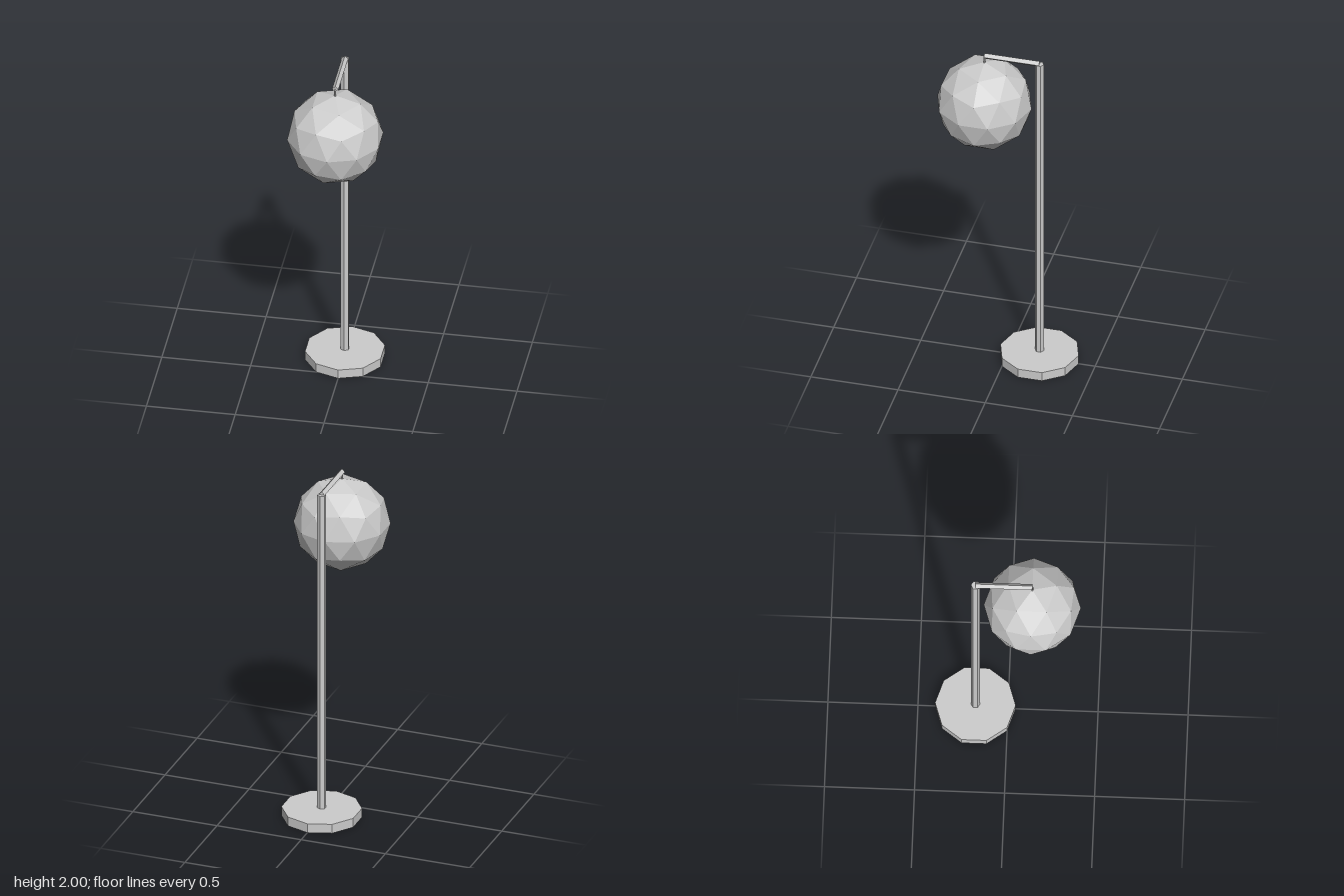
import * as THREE from 'three';

export function createModel() {
  const model = new THREE.Group();
  model.name = 'floorLamp';
  const grey = new THREE.MeshStandardMaterial({ color: 0xcccccc, flatShading: true });
  grey.name = 'lightGrey';

  const add = (name, geometry, x, y, z) => {
    const mesh = new THREE.Mesh(geometry, grey);
    mesh.name = name;
    mesh.position.set(x, y, z);
    model.add(mesh);
    return mesh;
  };
  // Upright faceted cylinder from y0 to y1
  const column = (name, radius, sides, y0, y1, z) =>
    add(name, new THREE.CylinderGeometry(radius, radius, y1 - y0, sides), 0, (y0 + y1) / 2, z);

  const poleZ = -0.181, shadeZ = 0.135, armY = 1.982;

  column('base', 0.224, 10, 0, 0.055, poleZ);
  column('pole', 0.025, 6, 0.05, armY, poleZ);

  // Diamond-section arm running forward from the pole top
  const arm = new THREE.CylinderGeometry(0.018, 0.018, shadeZ - poleZ, 4).rotateX(Math.PI / 2);
  add('arm', arm, 0, armY, (shadeZ + poleZ) / 2);

  column('hanger', 0.006, 6, 1.93, armY, shadeZ);

  // Faceted globe, turned so that a vertex points straight up
  const globe = new THREE.IcosahedronGeometry(0.27, 1);
  globe.rotateZ(-Math.atan(2 / (1 + Math.sqrt(5))));
  add('globeShade', globe, 0, 1.67, shadeZ);

  return model;
}
